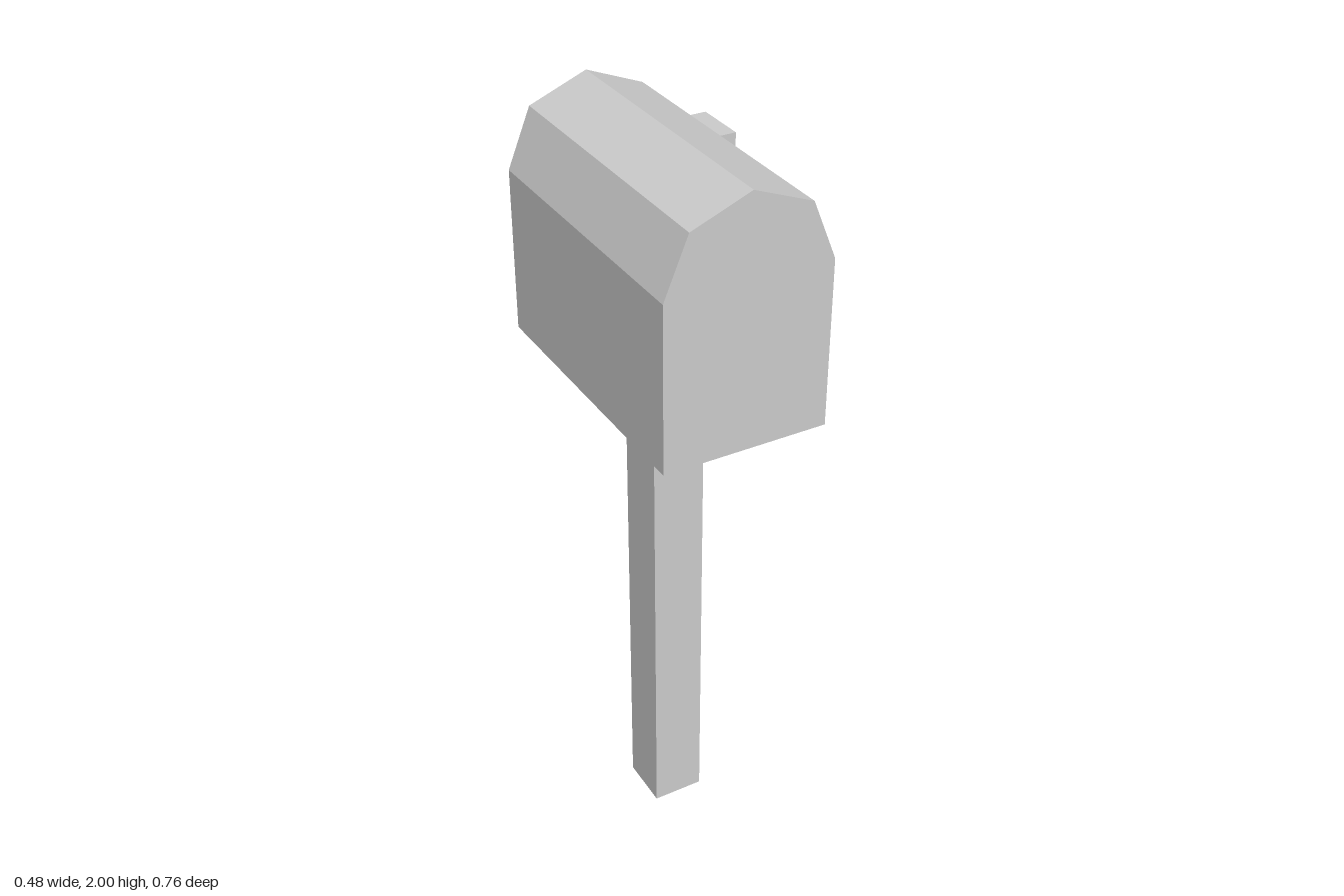
import * as THREE from 'three';

export function createModel() {
  const model = new THREE.Group();
  model.name = 'mailbox';
  const grey = new THREE.MeshStandardMaterial({ color: 0xcccccc, flatShading: true });
  grey.name = 'plain grey';
  const axis = -0.024; // the box and post sit left of centre to balance the flag

  const add = (name, geometry, x, y, z) => {
    const mesh = new THREE.Mesh(geometry, grey);
    mesh.name = name;
    mesh.position.set(x, y, z);
    model.add(mesh);
  };

  // Square post
  add('post', new THREE.BoxGeometry(0.14, 1.36, 0.144), axis, 0.68, 0);

  // Box with a faceted arched roof, extruded front to back
  const half = 0.214, shoulder = 0.152, depth = 0.762;
  const profile = new THREE.Shape([
    [-half, 1.36], [half, 1.36], [half, 1.79], [shoulder, 1.94],
    [0, 2], [-shoulder, 1.94], [-half, 1.79],
  ].map(([x, y]) => new THREE.Vector2(x, y)));
  add('box', new THREE.ExtrudeGeometry(profile, { depth, bevelEnabled: false }), axis, 0, -depth / 2);

  // Raised flag on the left side, towards the back
  add('flag', new THREE.BoxGeometry(0.047, 0.333, 0.143), 0.2135, 1.718, -0.191);

  return model;
}
